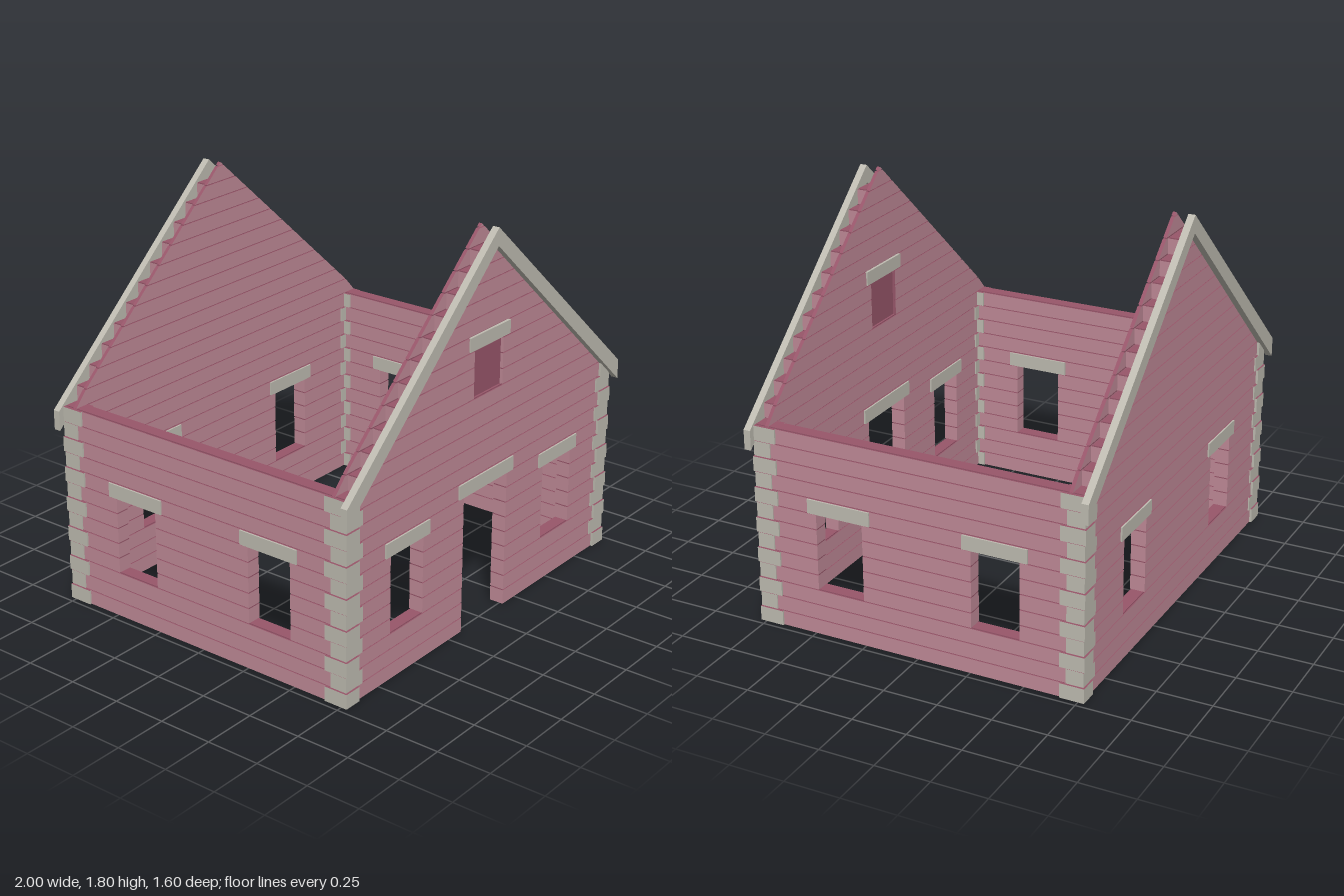
import * as THREE from 'three';

const H = 0.0715;        // height of one plank row
const GAP = 0.005;       // groove between rows
const ROWS = 13;         // rows up to the eaves
const SLOPE = 0.89;      // roof pitch
const FRONT_Z = 0.733, SIDE_X = 0.931, THICK = 0.068;

function mat(name, color) {
  const m = new THREE.MeshStandardMaterial({ color });
  m.name = name;
  return m;
}

export function createModel() {
  const pink = mat('plank pink', 0xc08a97);
  const dark = mat('wall core', 0x98566a);
  const grey = mat('trim grey', 0xbfbcb1);
  const plankMats = [pink, pink, dark, dark, pink, pink];
  const quoinMats = [grey, grey, dark, dark, grey, grey];

  function box(parent, name, x0, x1, y0, y1, z0, z1, material) {
    const m = new THREE.Mesh(new THREE.BoxGeometry(x1 - x0, y1 - y0, z1 - z0), material);
    m.position.set((x0 + x1) / 2, (y0 + y1) / 2, (z0 + z1) / 2);
    m.name = name;
    parent.add(m);
    return m;
  }

  // Plank with a recessed dark groove strip above it
  function plank(wall, x0, x1, row, z0, z1) {
    const y = row * H, g = 0.005;
    box(wall, 'plank', x0, x1, y, y + H - GAP, z0, z1, plankMats);
    box(wall, 'groove', x0, x1, y + H - GAP, y + H, z0 + g, z1 - g, dark);
  }

  // Pieces of a row left over between the openings
  function pieces(half, row, openings) {
    const cuts = openings.filter(o => row >= o.r0 && row < o.r1).sort((a, b) => a.x0 - b.x0);
    const out = [];
    let x = -half;
    for (const c of cuts) {
      out.push([x, c.x0]);
      x = c.x1;
    }
    out.push([x, half]);
    return out;
  }

  // Straight wall built around z = 0, outside facing +z
  function makeWall(name, half, openings) {
    const wall = new THREE.Group();
    wall.name = name;
    for (let r = 0; r < ROWS; r++)
      for (const [a, b] of pieces(half, r, openings)) plank(wall, a, b, r, -THICK / 2, THICK / 2);
    for (const o of openings) {
      const c = (o.x0 + o.x1) / 2, w = o.lintel / 2, y = o.r1 * H;
      box(wall, 'lintel', c - w, c + w, y, y + 0.065, -THICK / 2 - 0.007, THICK / 2 + 0.007, grey);
    }
    return wall;
  }

  // Inner gable lining cut along the roof line
  function lining(wall, row, x0, x1) {
    const y0 = row * H, y1 = Math.min(1.8, y0 + H - GAP);
    const edge = y => Math.min(0.965, (1.8 - y) / SLOPE);
    const s = new THREE.Shape([
      new THREE.Vector2(x0 === null ? -edge(y0) : x0, y0),
      new THREE.Vector2(x1 === null ? edge(y0) : x1, y0),
      new THREE.Vector2(x1 === null ? edge(y1) : x1, y1),
      new THREE.Vector2(x0 === null ? -edge(y1) : x0, y1),
    ]);
    const geo = new THREE.ExtrudeGeometry(s, { depth: 0.016, bevelEnabled: false });
    const m = new THREE.Mesh(geo, [pink, dark]);
    m.position.z = -THICK / 2;
    m.name = 'gable lining';
    wall.add(m);
    // groove strip behind the joint
    const e = edge(y0 + H);
    if (y0 + H < 1.78)
      box(wall, 'groove', x0 === null ? -e : x0, x1 === null ? e : x1,
        y0 + H - GAP, y0 + H, -THICK / 2 + 0.005, -THICK / 2 + 0.016, dark);
  }

  function makeGable(wall, attic) {
    const openings = attic ? [attic] : [];
    const zIn = -THICK / 2 + 0.018;
    // Stepped outer planks
    for (let r = ROWS; r < 24; r++) {
      const half = Math.min(0.965, (1.72 - r * H) / SLOPE);
      for (const [a, b] of pieces(half, r, openings)) plank(wall, a, b, r, zIn, THICK / 2);
    }
    for (let r = ROWS; r * H < 1.79; r++) {
      if (attic && r >= attic.r0 && r < attic.r1) {
        lining(wall, r, null, attic.x0);
        lining(wall, r, attic.x1, null);
      } else lining(wall, r, null, null);
    }
    // Closed attic hatch with its lintel
    if (attic) {
      const y = attic.r1 * H, w = attic.lintel / 2;
      box(wall, 'attic panel', attic.x0, attic.x1, attic.r0 * H, y, -0.02, 0.02, dark);
      box(wall, 'attic lintel', -w, w, y + 0.005, y + 0.067, -THICK / 2 - 0.007, THICK / 2 + 0.007, grey);
    }
    // Barge boards along the roof edge
    const s = new THREE.Shape([[0, 1.8], [-1, 0.91], [-1, 0.82], [0, 1.72], [1, 0.82], [1, 0.91]]
      .map(p => new THREE.Vector2(p[0], p[1])));
    const barge = new THREE.Mesh(new THREE.ExtrudeGeometry(s, { depth: 0.032, bevelEnabled: false }), grey);
    barge.position.z = THICK / 2 + 0.001;
    barge.name = 'barge boards';
    wall.add(barge);
  }

  const opening = (x0, x1, r0, r1, lintel) => ({ x0, x1, r0, r1, lintel });
  const pair = (a, b, lintel) => [opening(-b, -a, 3, 8, lintel), opening(a, b, 3, 8, lintel)];

  const house = new THREE.Group();
  house.name = 'log house';

  // Front wall with door, windows and attic hatch
  const front = makeWall('frontWall', 0.96, [...pair(0.447, 0.67, 0.3), opening(-0.16, 0.16, 0, 9, 0.4)]);
  makeGable(front, opening(-0.105, 0.105, 15, 18, 0.29));
  front.position.z = FRONT_Z;

  // Back wall with two windows
  const back = makeWall('backWall', 0.96, pair(0.355, 0.578, 0.3));
  makeGable(back, null);
  back.position.z = -FRONT_Z;
  back.rotation.y = Math.PI;
  house.add(front, back);

  // Side walls
  for (const s of [1, -1]) {
    const side = makeWall(s > 0 ? 'leftWall' : 'rightWall', FRONT_Z - THICK / 2, pair(0.257, 0.48, 0.3));
    side.position.x = s * SIDE_X;
    side.rotation.y = s * Math.PI / 2;
    house.add(side);
  }

  // Corner blocks, alternately long along each wall
  const corners = new THREE.Group();
  corners.name = 'cornerBlocks';
  for (const sx of [1, -1]) for (const sz of [1, -1]) for (let r = 0; r < ROWS; r++) {
    const [x0, x1, z0, z1] = r % 2 ? [0.862, 0.97, 0.693, 0.773] : [0.888, 0.974, 0.665, 0.778];
    const b = box(corners, 'corner block', x0, x1, r * H, (r + 1) * H - 0.004, z0, z1, quoinMats);
    b.position.x *= sx;
    b.position.z *= sz;
  }
  house.add(corners);
  return house;
}
